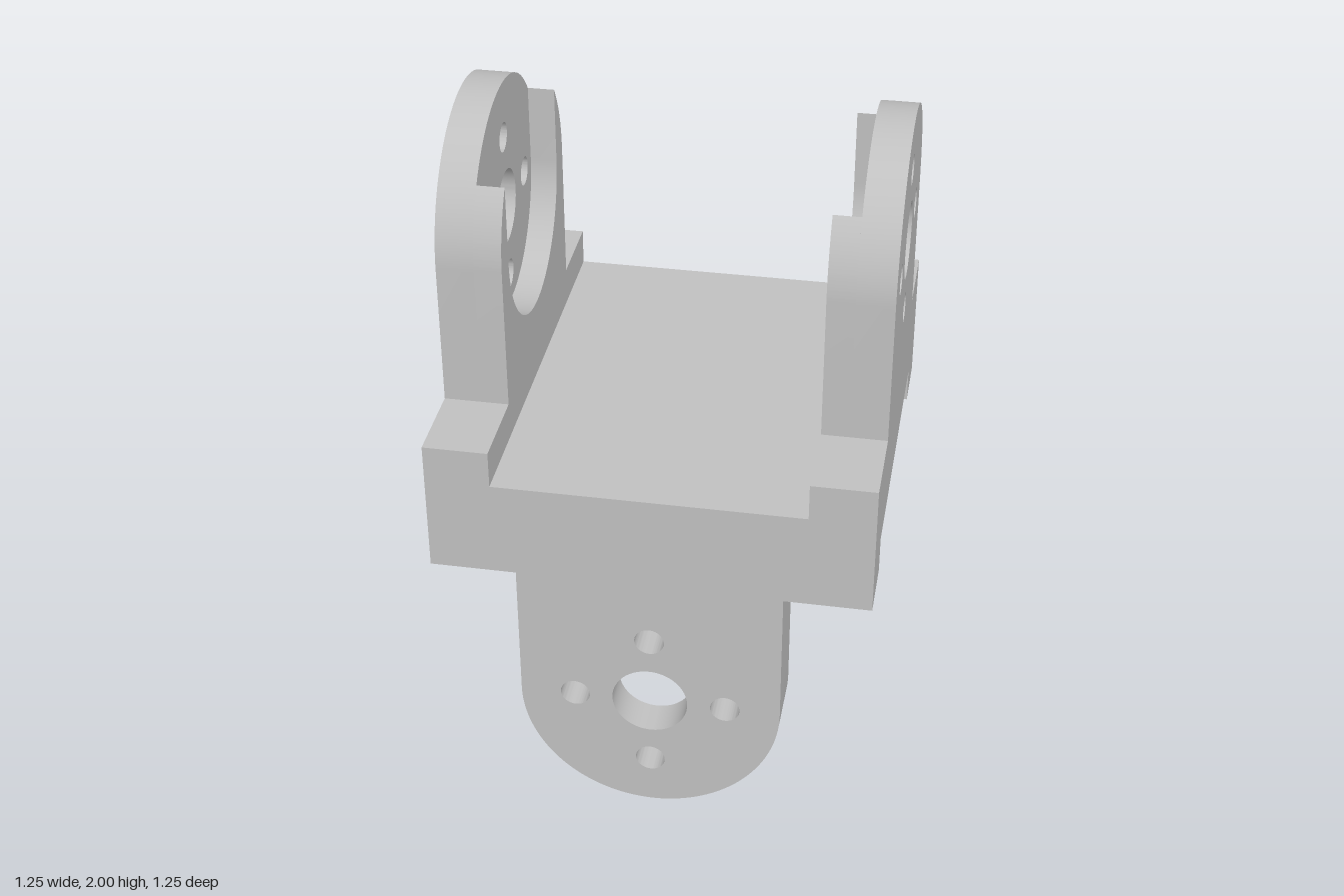
import * as THREE from 'three';
import { toCreasedNormals } from 'three/addons/utils/BufferGeometryUtils.js';

const HALF = 0.627;     // half width of the square body
const CORE = 0.09;      // half thickness of the centre plate
const SHOULDER = 0.2;   // height of the rails above the middle
const EAR_Y = 0.62;     // height of the ear centre above the middle
const EAR_R = 0.38;
const RECESS_R = 0.304;
const INNER = 0.442, STEP = 0.52; // inner face and recess floor of a wall

// Rail with a round ear; the recessed version has a U-shaped slot open at the end
function wallShape(recessed) {
  const s = new THREE.Shape();
  s.moveTo(-HALF, CORE);
  s.lineTo(HALF, CORE);
  s.lineTo(HALF, SHOULDER);
  s.lineTo(EAR_R, SHOULDER);
  s.lineTo(EAR_R, EAR_Y);
  if (recessed) {
    const a = Math.acos(RECESS_R / EAR_R);
    s.absarc(0, EAR_Y, EAR_R, 0, a, false);
    s.lineTo(RECESS_R, EAR_Y);
    s.absarc(0, EAR_Y, RECESS_R, 0, -Math.PI, true);
    s.lineTo(-RECESS_R, EAR_Y + EAR_R * Math.sin(a));
    s.absarc(0, EAR_Y, EAR_R, Math.PI - a, Math.PI, false);
  } else {
    s.absarc(0, EAR_Y, EAR_R, 0, Math.PI, false);
    // Shaft hole and four screw holes
    const holes = [[0, 0, 0.11], [0.22, 0, 0.043], [-0.22, 0, 0.043], [0, 0.22, 0.043], [0, -0.22, 0.043]];
    for (const [x, y, r] of holes) {
      const h = new THREE.Path();
      h.absarc(x, EAR_Y + y, r, 0, Math.PI * 2, true);
      s.holes.push(h);
    }
  }
  s.lineTo(-EAR_R, SHOULDER);
  s.lineTo(-HALF, SHOULDER);
  s.closePath();
  return s;
}

function layer(recessed, from, to) {
  const g = new THREE.ExtrudeGeometry(wallShape(recessed), { depth: to - from, bevelEnabled: false, curveSegments: 40 });
  g.translate(0, 0, from);
  return toCreasedNormals(g, 0.5);
}

export function createModel() {
  const model = new THREE.Group();
  model.name = 'crossBracket';
  const grey = new THREE.MeshStandardMaterial({ color: 0xc0c0c0 });
  grey.name = 'grey';

  // Centre plate
  const plate = new THREE.Mesh(new THREE.BoxGeometry(HALF * 2, CORE * 2, HALF * 2), grey);
  plate.name = 'centrePlate';
  plate.position.y = 1;
  model.add(plate);

  const outer = layer(false, STEP, HALF);
  const inner = layer(true, INNER, STEP);

  // A pair of facing walls with ears
  function fork(name) {
    const pair = new THREE.Group();
    pair.name = name;
    for (const turn of [0, Math.PI]) {
      const wall = new THREE.Group();
      wall.name = 'earWall';
      const face = new THREE.Mesh(outer, grey);
      face.name = 'outerFace';
      const rim = new THREE.Mesh(inner, grey);
      rim.name = 'recessRim';
      wall.add(face, rim);
      wall.rotation.y = turn;
      pair.add(wall);
    }
    pair.position.y = 1;
    model.add(pair);
    return pair;
  }

  // Upper ears stand at the sides, lower ears hang at front and back
  fork('upperFork').rotation.y = Math.PI / 2;
  fork('lowerFork').rotation.x = Math.PI;
  return model;
}
